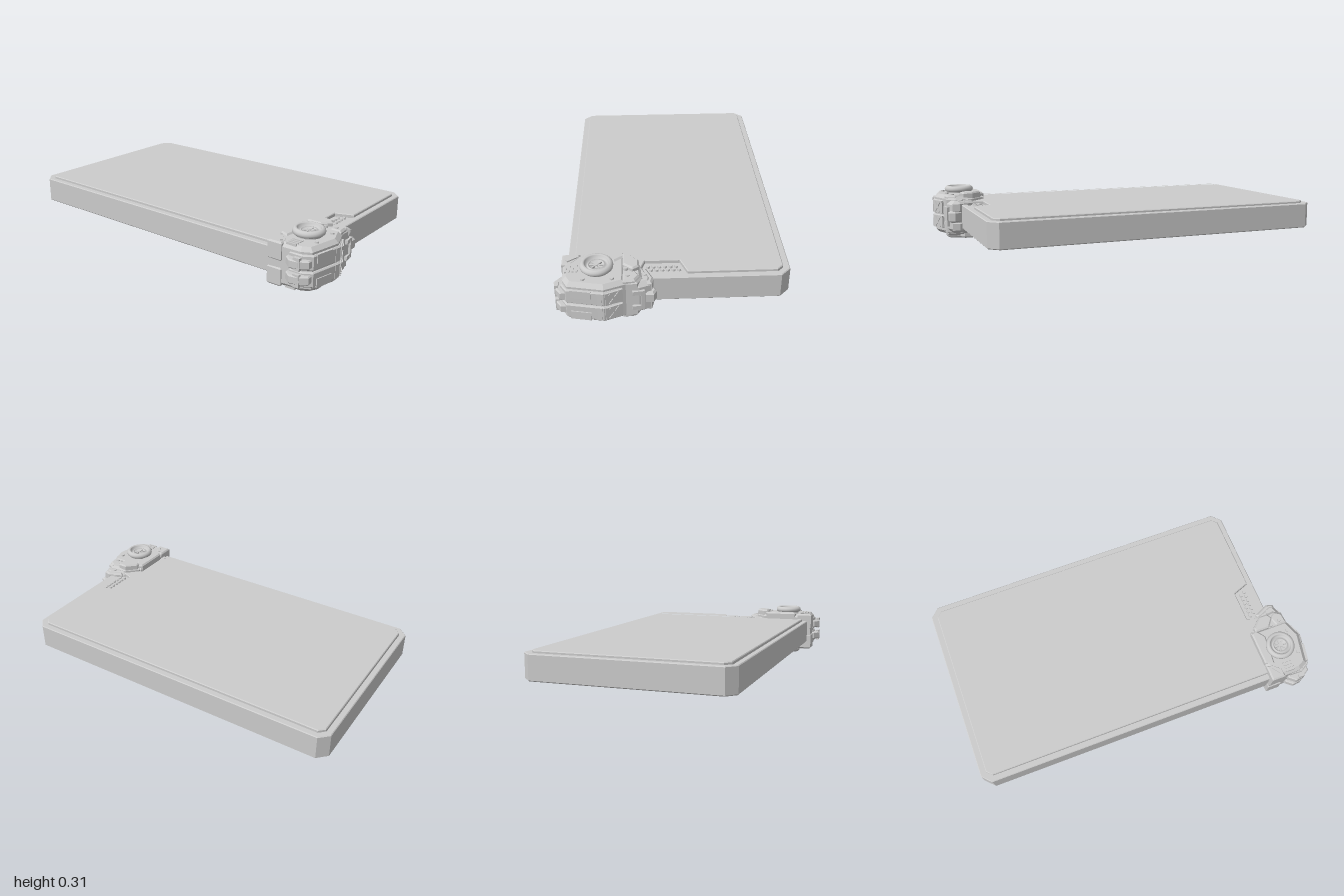
import * as THREE from 'three';

const flat = new THREE.MeshStandardMaterial({ color: 0xcccccc, flatShading: true });
const smooth = new THREE.MeshStandardMaterial({ color: 0xcccccc });
const MID = 0.153; // height of the clasp's mirror plane

function add(parent, name, geometry, material = flat) {
  const mesh = new THREE.Mesh(geometry, material);
  mesh.name = name;
  parent.add(mesh);
  return mesh;
}

// Rectangle in plan with cut corners
function cutRect(x0, x1, z0, z1, c) {
  return [[x0 + c, z0], [x1 - c, z0], [x1, z0 + c], [x1, z1 - c],
    [x1 - c, z1], [x0 + c, z1], [x0, z1 - c], [x0, z0 + c]];
}

// Upright prism from a plan outline of [x, z] points, with bevelled rims
function prism(points, y0, y1, bevel, hole) {
  const toVec = (p) => new THREE.Vector2(p[0], -p[1]);
  const shape = new THREE.Shape(points.map(toVec));
  if (hole) shape.holes.push(new THREE.Path(hole.map(toVec)));
  const g = new THREE.ExtrudeGeometry(shape, {
    depth: y1 - y0 - 2 * bevel, bevelEnabled: bevel > 0, bevelThickness: bevel,
    bevelSize: bevel, bevelOffset: -bevel, bevelSegments: 1,
  });
  return g.rotateX(-Math.PI / 2).translate(0, y0 + bevel, 0);
}

function box(parent, name, x, y, z, w, h, d, turn = 0) {
  const m = add(parent, name, new THREE.BoxGeometry(w, h, d));
  m.position.set(x, y, z);
  m.rotation.y = turn;
  return m;
}

// Copy of a group's meshes reflected in the clasp's middle plane
function mirrored(group) {
  const out = new THREE.Group();
  group.updateMatrixWorld(true);
  group.traverse((m) => {
    if (!m.isMesh) return;
    let g = m.geometry.index ? m.geometry.toNonIndexed() : m.geometry.clone();
    g.applyMatrix4(m.matrixWorld).scale(1, -1, 1).translate(0, 2 * MID, 0);
    for (const a of Object.values(g.attributes)) {
      const n = a.itemSize;
      for (let i = 0; i < a.count; i += 3) {
        for (let k = 0; k < n; k++) {
          const p = (i + 1) * n + k, q = (i + 2) * n + k;
          [a.array[p], a.array[q]] = [a.array[q], a.array[p]];
        }
      }
    }
    add(out, m.name, g, m.material);
  });
  return out;
}

function buildTablet() {
  const tablet = new THREE.Group();
  tablet.name = 'tablet';
  const outer = cutRect(-0.525, 0.58, -1, 0.873, 0.05);
  add(tablet, 'case', prism(outer, 0.085, 0.215, 0.005));
  add(tablet, 'rim', prism(outer, 0.205, 0.223, 0.004, cutRect(-0.5, 0.553, -0.973, 0.848, 0.035)));

  // Raised bezel with a notch in its front edge
  const bezel = [[-0.46, -0.965], [0.515, -0.965], [0.545, -0.935], [0.545, 0.81], [0.515, 0.84],
    [0.07, 0.84], [0.035, 0.745], [-0.14, 0.745], [-0.175, 0.84], [-0.46, 0.84], [-0.49, 0.81], [-0.49, -0.935]];
  const screen = cutRect(-0.475, 0.528, -0.942, 0.73, 0.03);
  add(tablet, 'bezel', prism(bezel, 0.208, 0.235, 0.004, screen));
  add(tablet, 'screen', prism(screen, 0.208, 0.232, 0));

  // Hexagonal studs in the notch
  for (let row = 0; row < 2; row++) {
    for (let i = 0; i < 6; i++) {
      const stud = add(tablet, 'ventStud', new THREE.CylinderGeometry(0.01, 0.012, 0.012, 6));
      stud.position.set(-0.125 + i * 0.028 + row * 0.014, 0.219, 0.778 + row * 0.026);
    }
  }
  return tablet;
}

function buildUpperClasp() {
  const g = new THREE.Group();
  // Armour plates
  add(g, 'frontArmour', prism([[-0.545, 0.84], [-0.38, 0.9], [-0.25, 0.9], [-0.25, 0.955], [-0.34, 0.997],
    [-0.38, 0.99], [-0.52, 0.962], [-0.548, 0.915]], 0.157, 0.235, 0.006));
  add(g, 'frontCap', prism([[-0.5, 0.88], [-0.27, 0.88], [-0.27, 0.935], [-0.34, 0.97], [-0.48, 0.945]],
    0.22, 0.262, 0.01));
  add(g, 'sidePlate', prism([[-0.55, 0.72], [-0.46, 0.72], [-0.46, 0.755], [-0.5, 0.8], [-0.55, 0.8]],
    0.17, 0.268, 0.008));
  add(g, 'backPlate', prism([[-0.44, 0.72], [-0.25, 0.72], [-0.235, 0.75], [-0.29, 0.79], [-0.46, 0.77]],
    0.2, 0.274, 0.008));
  add(g, 'shoulderPlate', prism([[-0.25, 0.745], [-0.225, 0.745], [-0.17, 0.8], [-0.17, 0.85], [-0.2, 0.87], [-0.25, 0.83]],
    0.23, 0.285, 0.008));
  add(g, 'shoulderFront', prism([[-0.25, 0.88], [-0.19, 0.86], [-0.165, 0.9], [-0.19, 0.94], [-0.25, 0.945]],
    0.2, 0.268, 0.01));
  add(g, 'taperPlate', prism([[-0.16, 0.81], [-0.135, 0.805], [-0.1, 0.885], [-0.11, 0.925], [-0.15, 0.925]],
    0.18, 0.238, 0.01));
  box(g, 'diagonalBar', -0.5, 0.268, 0.765, 0.06, 0.012, 0.014, 0.6);

  // Claw and its root on the outer side
  add(g, 'claw', prism([[-0.5, 0.82], [-0.555, 0.83], [-0.585, 0.865], [-0.578, 0.91], [-0.55, 0.955], [-0.5, 0.955]],
    0.17, 0.215, 0.006));
  box(g, 'clawHinge', -0.568, 0.195, 0.9, 0.018, 0.065, 0.035);
  for (let i = 0; i < 4; i++) box(g, 'gripRib', -0.525 + i * 0.018, 0.263, 0.84, 0.008, 0.016, 0.055);

  // Slanted front panel with a crossed mark
  const panel = new THREE.Group();
  panel.name = 'crossPanel';
  panel.position.set(-0.293, 0.196, 0.975);
  panel.rotation.y = 0.418;
  g.add(panel);
  box(panel, 'panelPlate', 0, 0, 0, 0.09, 0.07, 0.012);
  for (const s of [-1, 1]) {
    box(panel, 'crossBar', 0, 0, 0.007, 0.075, 0.009, 0.006).rotation.z = s * 0.85;
  }
  box(g, 'frontRib', -0.36, 0.196, 0.99, 0.025, 0.07, 0.012, -0.2);
  box(g, 'frontStep', -0.45, 0.215, 0.974, 0.1, 0.045, 0.014, -0.2);

  // Bands and bolts toward the tablet
  box(g, 'frontBand', -0.175, 0.197, 0.945, 0.06, 0.022, 0.02, 0.15);
  for (const [x, z] of [[-0.235, 0.85], [-0.225, 0.905], [-0.145, 0.87], [-0.44, 0.925], [-0.3, 0.925]]) {
    const bolt = add(g, 'bolt', new THREE.CylinderGeometry(0.01, 0.012, 0.02, 8));
    bolt.position.set(x, x > -0.16 ? 0.238 : 0.264, z);
  }

  // Round dial with a dished face
  const profile = [[0.068, 0.24], [0.068, 0.272], [0.076, 0.274], [0.081, 0.28], [0.082, 0.288], [0.08, 0.297],
    [0.072, 0.305], [0.063, 0.306], [0.058, 0.302], [0.054, 0.286], [0.044, 0.286], [0.042, 0.292], [0.036, 0.292],
    [0.034, 0.282], [0, 0.282]].map((p) => new THREE.Vector2(p[0], p[1]));
  const dial = add(g, 'dial', new THREE.LatheGeometry(profile, 40), smooth);
  dial.position.set(-0.375, 0, 0.84);
  for (let i = 0; i < 8; i++) {
    const a = (i * Math.PI) / 4;
    box(g, 'dialSpoke', -0.375 + Math.cos(a) * 0.026, 0.285, 0.84 - Math.sin(a) * 0.026, 0.03, 0.01, 0.008, a);
  }
  const hub = add(g, 'dialHub', new THREE.CylinderGeometry(0.011, 0.013, 0.014, 12));
  hub.position.set(-0.375, 0.287, 0.84);
  return g;
}

function buildClasp() {
  const clasp = new THREE.Group();
  clasp.name = 'cornerClasp';
  // Solid cores spanning both halves
  add(clasp, 'mainCore', prism([[-0.545, 0.722], [-0.235, 0.722], [-0.235, 0.945], [-0.34, 0.985], [-0.515, 0.95],
    [-0.54, 0.9]], 0.04, 0.266, 0.02));
  add(clasp, 'taperCore', prism([[-0.26, 0.73], [-0.23, 0.73], [-0.145, 0.8], [-0.105, 0.89], [-0.115, 0.925],
    [-0.17, 0.945], [-0.26, 0.945]], 0.062, 0.244, 0.022));
  add(clasp, 'shoulderCore', prism([[-0.26, 0.73], [-0.23, 0.735], [-0.165, 0.8], [-0.155, 0.9], [-0.18, 0.945],
    [-0.26, 0.945]], 0.045, 0.261, 0.015));
  add(clasp, 'endKnob', prism([[-0.14, 0.88], [-0.105, 0.875], [-0.085, 0.915], [-0.1, 0.945], [-0.14, 0.945]],
    0.125, 0.188, 0.01));
  box(clasp, 'bandLink', -0.155, MID, 0.943, 0.018, 0.11, 0.02, 0.2);

  const upper = buildUpperClasp();
  const lower = mirrored(upper);
  upper.name = 'upperHalf';
  lower.name = 'lowerHalf';
  clasp.add(upper, lower);
  return clasp;
}

export function createModel() {
  const model = new THREE.Group();
  model.name = 'tabletWithClasp';
  model.add(buildTablet(), buildClasp());
  return model;
}
